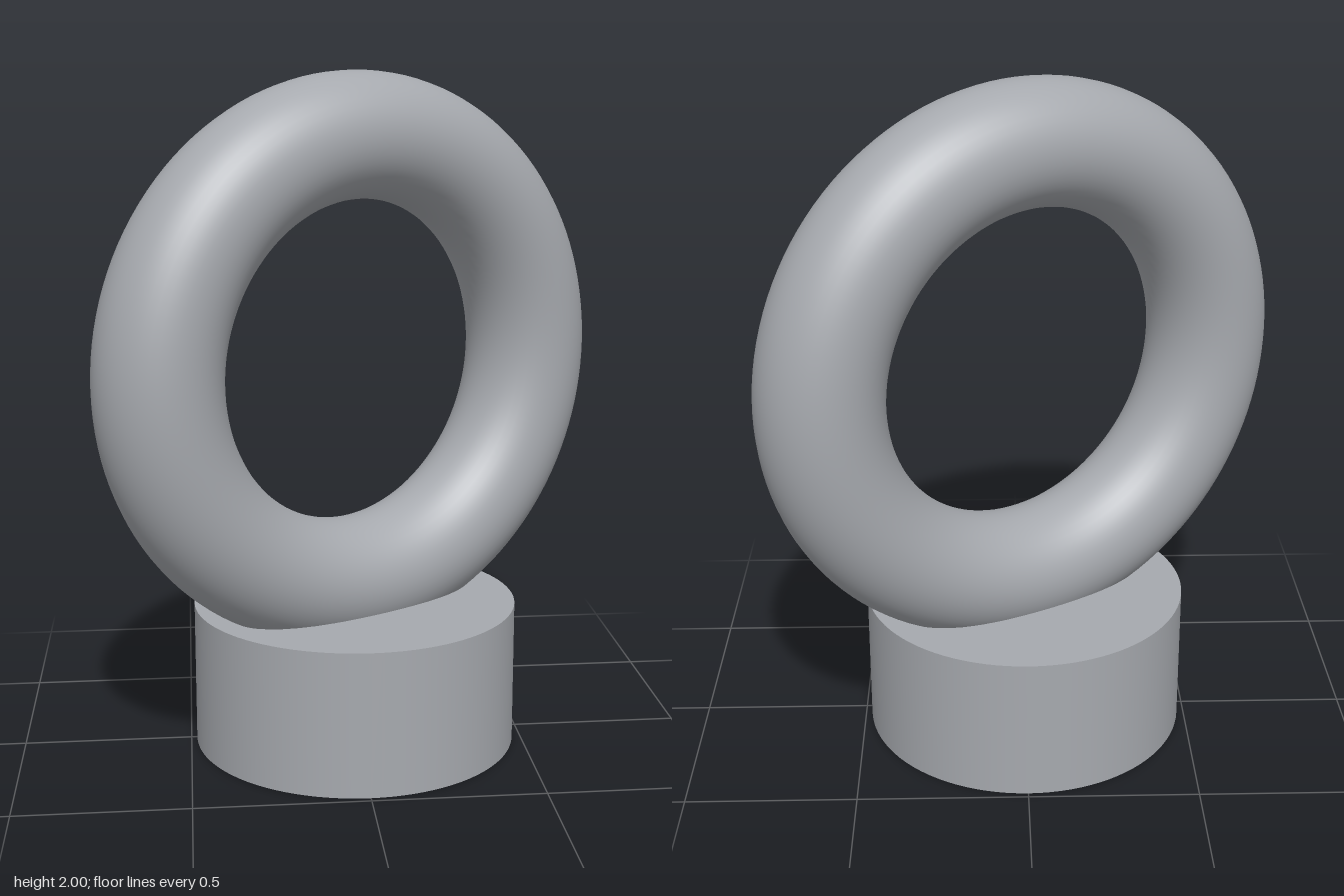
import * as THREE from 'three';

export function createModel() {
  const model = new THREE.Group();
  model.name = 'eyeRing';
  const steel = new THREE.MeshStandardMaterial({ color: 0xa6a9ae });
  steel.name = 'steel grey';

  // Round collar standing on the ground
  const baseHeight = 0.43;
  const base = new THREE.Mesh(new THREE.CylinderGeometry(0.483, 0.483, baseHeight, 96), steel);
  base.name = 'base';
  base.position.y = baseHeight / 2;

  // Upright ring, turned 30 degrees and sunk slightly into the collar
  const ringRadius = 0.6575;
  const tubeRadius = 0.1825;
  const ring = new THREE.Mesh(new THREE.TorusGeometry(ringRadius, tubeRadius, 48, 128), steel);
  ring.name = 'ring';
  ring.position.y = 2 - ringRadius - tubeRadius;
  ring.rotation.y = Math.PI / 6;

  model.add(base, ring);
  return model;
}
